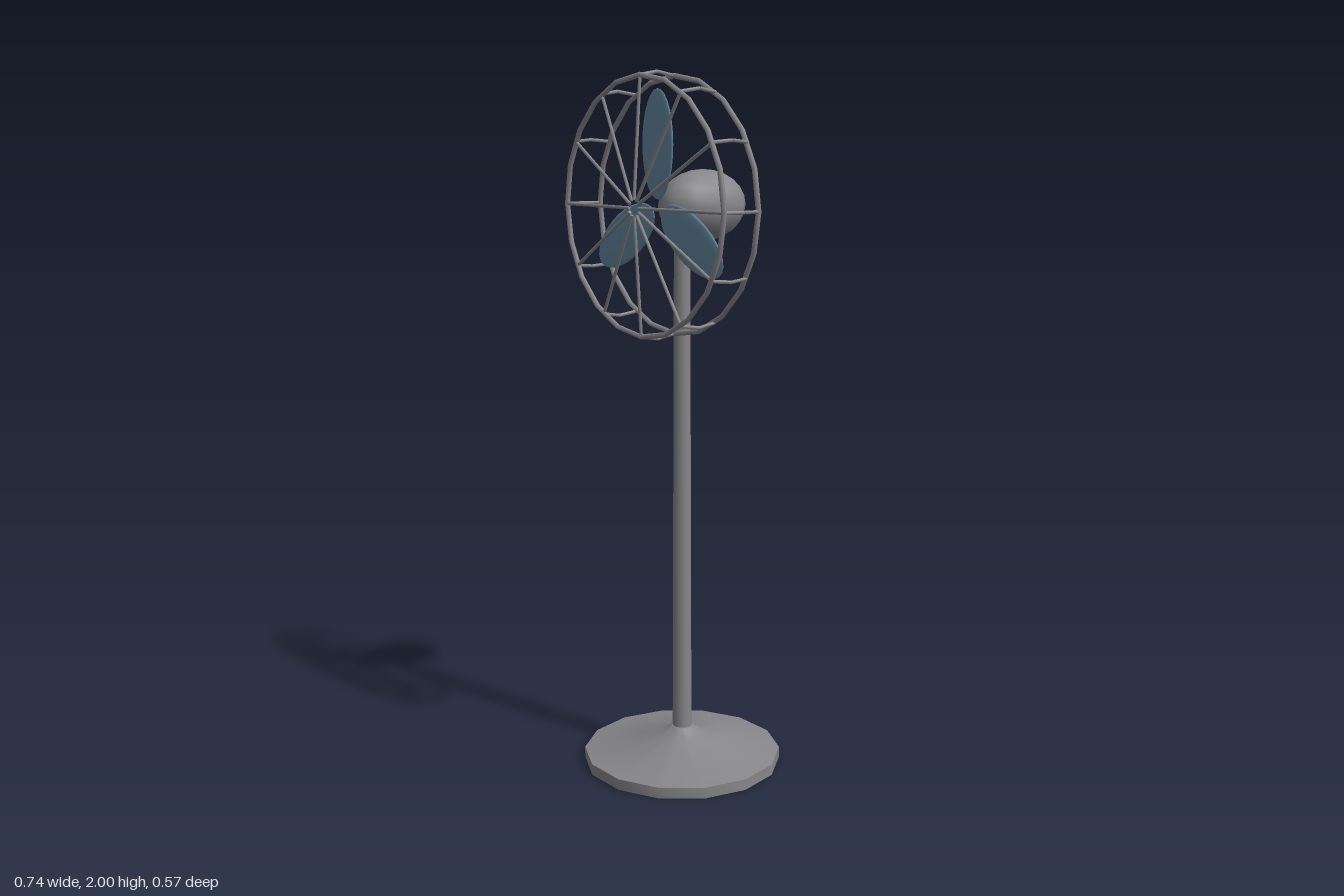
import * as THREE from 'three';
import { toCreasedNormals } from 'three/addons/utils/BufferGeometryUtils.js';

export function createModel() {
  const grey = new THREE.MeshStandardMaterial({ name: 'greyMetal', color: 0x87878b });
  const blue = new THREE.MeshStandardMaterial({ name: 'blueBlade', color: 0x6389a0 });
  const model = new THREE.Group();
  model.name = 'pedestalFan';

  const add = (parent, name, geometry, material) => {
    const mesh = new THREE.Mesh(geometry, material);
    mesh.name = name;
    parent.add(mesh);
    return mesh;
  };
  // Thin round rod between two points
  const addRod = (parent, name, a, b, radius) => {
    const dir = b.clone().sub(a);
    const rod = add(parent, name, new THREE.CylinderGeometry(radius, radius, dir.length(), 6), grey);
    rod.position.copy(a).add(b).multiplyScalar(0.5);
    rod.quaternion.setFromUnitVectors(new THREE.Vector3(0, 1, 0), dir.normalize());
  };

  // Weighted base with a short collar
  const profile = [[0, 0], [0.29, 0], [0.29, 0.032], [0.07, 0.075], [0.032, 0.104], [0, 0.104]]
    .map(([x, y]) => new THREE.Vector2(x, y));
  const base = add(model, 'base', toCreasedNormals(new THREE.LatheGeometry(profile, 14), 0.5), grey);
  base.rotation.y = Math.PI / 2;

  // Slightly tapered pole
  const pole = add(model, 'pole', new THREE.CylinderGeometry(0.023, 0.028, 1.45, 10), grey);
  pole.position.y = 0.81;

  // Egg-shaped motor housing
  const motor = add(model, 'motorHousing', new THREE.SphereGeometry(1, 10, 12), grey);
  motor.scale.set(0.098, 0.1, 0.141);
  motor.position.set(0, 1.634, -0.073);

  const head = new THREE.Group();
  head.name = 'fanHead';
  head.position.y = 1.632;
  model.add(head);

  // Three flat oval blades
  for (let i = 0; i < 3; i++) {
    const pivot = new THREE.Group();
    pivot.name = 'bladePivot';
    pivot.rotation.z = i * Math.PI * 2 / 3;
    head.add(pivot);
    const blade = add(pivot, 'blade', new THREE.SphereGeometry(1, 14, 14), blue);
    blade.scale.set(0.069, 0.149, 0.008);
    blade.position.set(0, 0.17, 0.085);
  }

  // Front and back cage rings
  const rearZ = 0.028, frontZ = 0.144, ringR = 0.353;
  for (const [name, z] of [['rearRing', rearZ], ['frontRing', frontZ]]) {
    add(head, name, new THREE.TorusGeometry(ringR, 0.0075, 6, 20), grey).position.z = z;
  }

  // Bowed side struts and front spokes that stop short of the centre
  for (let i = 0; i < 12; i++) {
    const a = i * Math.PI / 6;
    const at = (r, z) => new THREE.Vector3(Math.cos(a) * r, Math.sin(a) * r, z);
    addRod(head, 'cageStrut', at(ringR, rearZ), at(0.363, 0.086), 0.005);
    addRod(head, 'cageStrut', at(0.363, 0.086), at(ringR, frontZ), 0.005);
    addRod(head, 'frontSpoke', at(ringR, frontZ), at(0.022, 0.166), 0.005);
  }
  return model;
}
